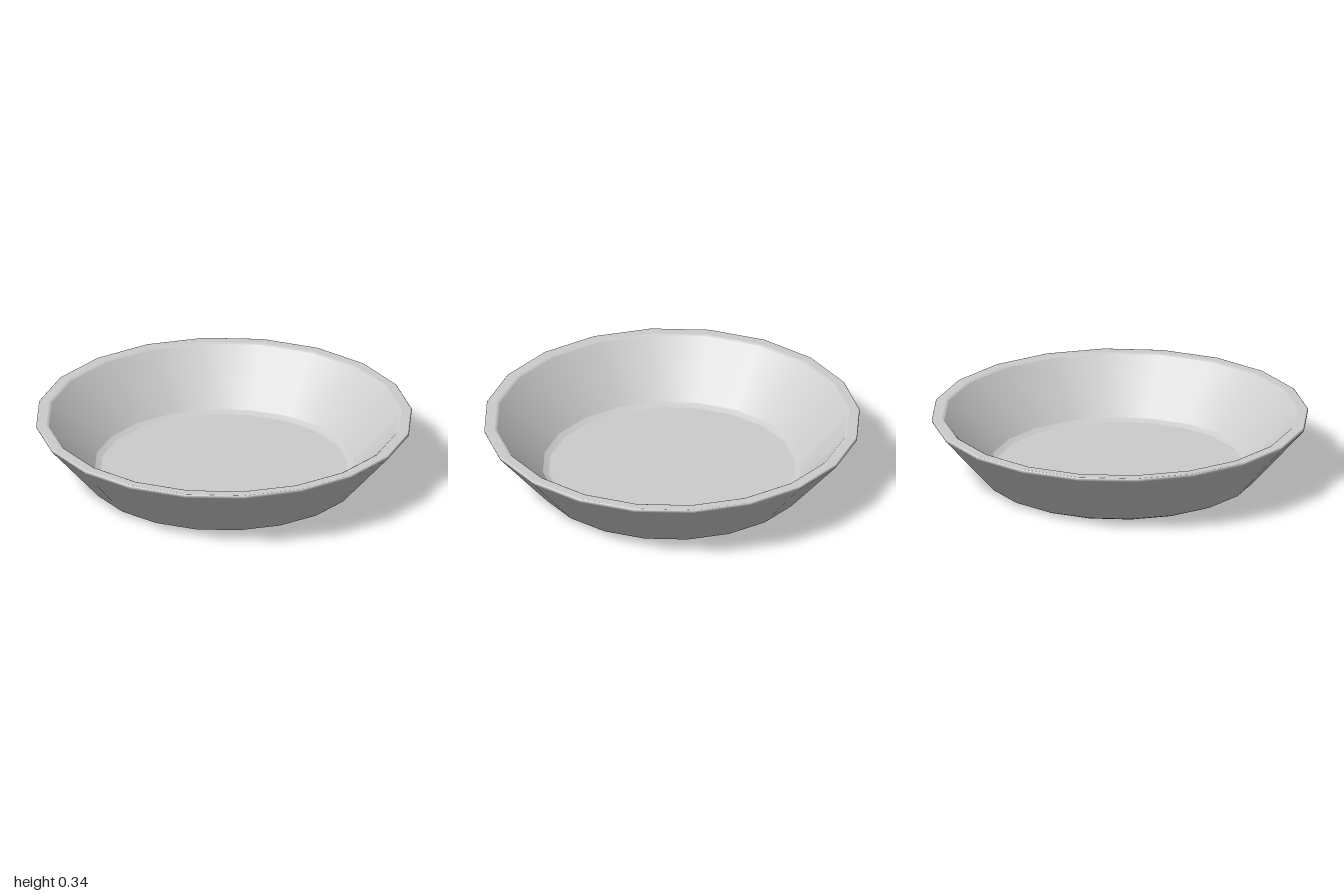
import * as THREE from 'three';

// Each corner of the profile becomes a small chamfer with a tight support point
// on either side, so broad faces shade flat and only the edges look rounded.
function softenProfile(corners) {
  const points = [];
  corners.forEach(([x, y, bevel], i) => {
    const corner = new THREE.Vector2(x, y);
    if (!bevel) {
      points.push(corner);
      return;
    }
    const toward = (n, d) => new THREE.Vector2(...corners[n].slice(0, 2))
      .sub(corner).setLength(d).add(corner);
    const support = bevel + 0.003;
    points.push(toward(i - 1, support), toward(i - 1, bevel), toward(i + 1, bevel), toward(i + 1, support));
  });
  return points;
}

export function createModel() {
  const group = new THREE.Group();
  group.name = 'dish';

  // radius, height, bevel: underside, outer wall, rim, inner wall, floor
  const profile = softenProfile([
    [0, 0, 0],
    [0.715, 0, 0.018],
    [1.0, 0.325, 0.003],
    [1.0, 0.34, 0.004],
    [0.938, 0.34, 0.006],
    [0.675, 0.05, 0.018],
    [0, 0.05, 0],
  ]);

  const bowl = new THREE.Mesh(
    new THREE.LatheGeometry(profile, 20),
    new THREE.MeshStandardMaterial({ color: 0xcccccc })
  );
  bowl.name = 'bowl';
  group.add(bowl);
  return group;
}
